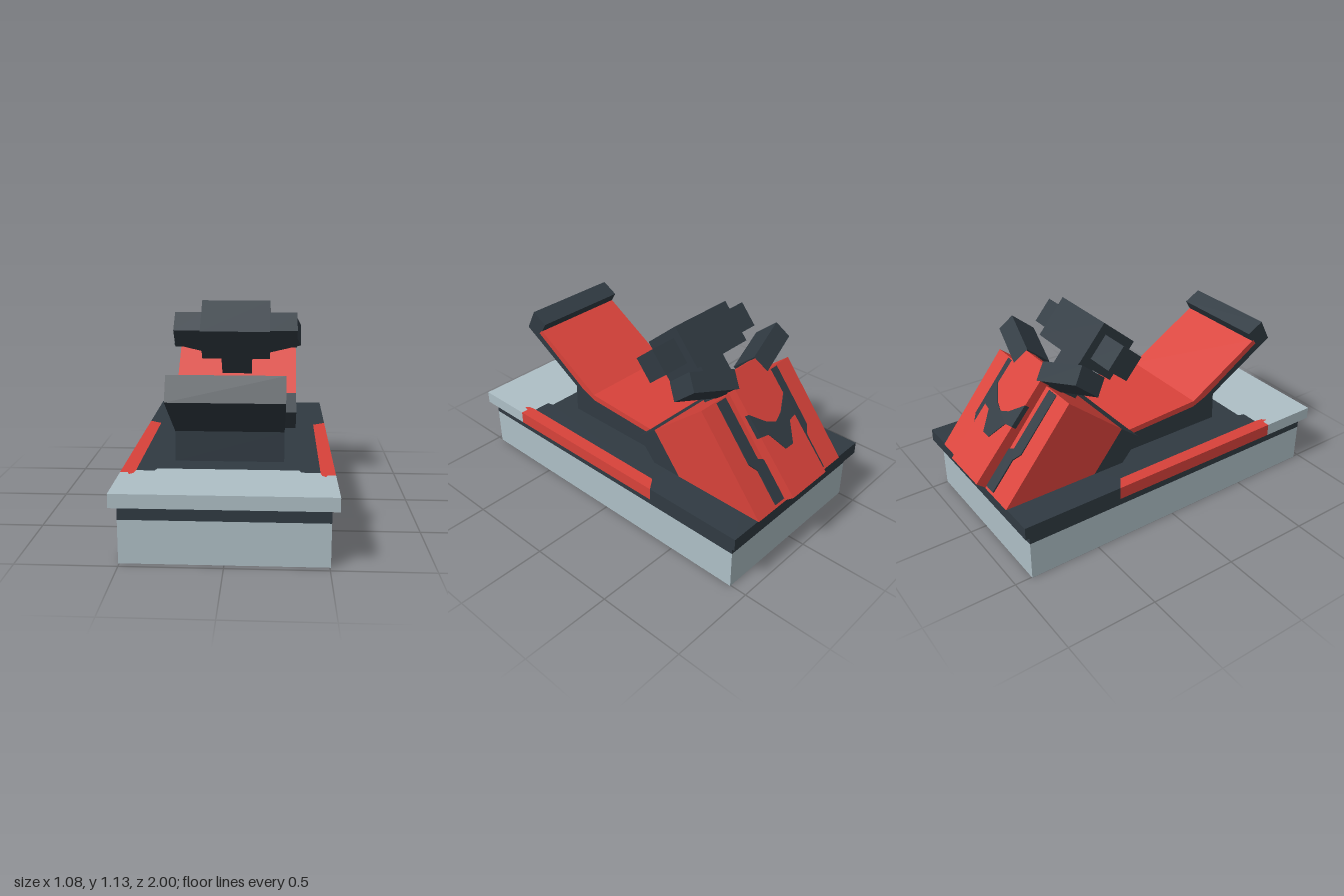
import * as THREE from 'three';

const paint = (name, color) => {
  const m = new THREE.MeshStandardMaterial({ color });
  m.name = name;
  return m;
};

export function createModel() {
  const red = paint('red', 0xd8423a);
  const dark = paint('dark slate', 0x303a42);
  const light = paint('light grey', 0xaebfc6);

  const model = new THREE.Group();
  model.name = 'motionSeat';

  const add = (name, geometry, material, parent = model) => {
    const mesh = new THREE.Mesh(geometry, material);
    mesh.name = name;
    parent.add(mesh);
    return mesh;
  };
  const box = (name, material, size, pos, parent) => {
    const mesh = add(name, new THREE.BoxGeometry(...size), material, parent);
    mesh.position.set(...pos);
    return mesh;
  };
  const extrude = (points, depth) => new THREE.ExtrudeGeometry(
    new THREE.Shape(points.map(([x, y]) => new THREE.Vector2(x, y))),
    { depth, bevelEnabled: false });
  // Side profile in [z, y], extruded across the width
  const profile = (name, material, points, width) => add(name,
    extrude(points, width).translate(0, 0, -width / 2).rotateY(-Math.PI / 2), material);
  // Floor outline in [x, z], extruded down from the deck top
  const slab = (name, material, points) => add(name,
    extrude(points, 0.07).rotateX(Math.PI / 2).translate(0, 0.36, 0), material);

  // Plinth
  box('plinth', light, [1.01, 0.22, 1.87], [0, 0.11, 0.03]);
  box('plinthBand', dark, [1.01, 0.07, 1.87], [0, 0.255, 0.03]);

  // Deck plate, split by colour
  const mirrored = (half) => [...half, ...half.map(([x, z]) => [-x, z]).reverse()];
  slab('deckFront', light, mirrored([
    [0.36, 0.6], [0.37, 0.635], [0.465, 0.635], [0.47, 0.68], [0.49, 0.7], [0.5, 0.67], [0.54, 0.67], [0.54, 1]]));
  slab('deckCentre', dark, mirrored([
    [0.54, -0.945], [0.54, -0.38], [0.47, -0.33], [0.465, 0.635], [0.37, 0.635], [0.36, 0.6]]));
  for (const s of [-1, 1]) {
    slab('deckStripe', red, [
      [0.54, -0.38], [0.54, 0.67], [0.5, 0.67], [0.49, 0.7], [0.47, 0.68], [0.465, 0.635], [0.47, -0.33],
    ].map(([x, z]) => [s * x, z]));
  }

  // Seat, leg rest and foot bar
  profile('seatPedestal', dark, [
    [0.46, 0.36], [0.455, 0.52], [0.4, 0.522], [0.31, 0.485], [-0.15, 0.462], [-0.22, 0.36]], 0.57);
  profile('seatCushion', red, [[0.31, 0.52], [0.31, 0.485], [-0.16, 0.46], [-0.14, 0.495]], 0.57);
  profile('legRestPad', red, [[0.31, 0.52], [0.745, 0.785], [0.765, 0.758], [0.4, 0.522], [0.31, 0.485]], 0.57);
  profile('legRestAndFootBar', dark, [
    [0.455, 0.52], [0.865, 0.765], [0.8, 0.885], [0.705, 0.833], [0.74, 0.775], [0.765, 0.758], [0.4, 0.522]], 0.57);

  // Reclined back body
  profile('backBodyFront', dark, [[-0.13, 0.485], [-0.245, 0.577], [-0.42, 0.36], [-0.24, 0.36]], 0.72);
  profile('backBody', red, [[-0.245, 0.577], [-0.562, 0.842], [-0.95, 0.36], [-0.42, 0.36]], 0.72);

  // Parts aligned with the recline: local y runs up the back, local z faces forward
  const recline = new THREE.Group();
  recline.name = 'reclinedParts';
  recline.rotation.x = 0.705;
  model.add(recline);

  box('spine', red, [0.29, 0.703, 0.065], [0, 0.0155, -0.9945], recline);
  const chevron = extrude([
    [-0.148, 0.14], [-0.148, 0.01], [-0.09, 0], [-0.03, -0.11], [0.03, -0.11],
    [0.09, 0], [0.148, 0.01], [0.148, 0.14], [0.06, 0.06], [0, 0.034], [-0.06, 0.06]], 0.03);
  add('spineChevron', chevron, dark, recline).position.z = -1.031;

  // Screen on its arm
  box('screenArm', dark, [0.18, 0.22, 0.11], [0, 0.365, -0.765], recline);
  box('screenBox', dark, [0.4, 0.24, 0.245], [0, 0.585, -0.793], recline);

  for (const s of [-1, 1]) {
    box('screenPod', dark, [0.16, 0.145, 0.145], [s * 0.28, 0.585, -0.793], recline);
    box('headrestWing', dark, [0.29, 0.106, 0.17], [s * 0.235, 0.374, -0.942], recline)
      .rotation.z = s * 0.35;
    // Painted stripe beside the spine
    const stripe = extrude([
      [0.145, -0.325], [0.215, -0.325], [0.215, -0.13], [0.25, -0.08],
      [0.25, 0.27], [0.18, 0.27], [0.18, -0.08], [0.145, -0.1],
    ].map(([x, y]) => [s * x, y]), 0.008);
    const mesh = add('backStripe', stripe, dark, recline);
    mesh.position.z = -0.972;
    mesh.rotation.x = -0.018;
  }
  return model;
}
